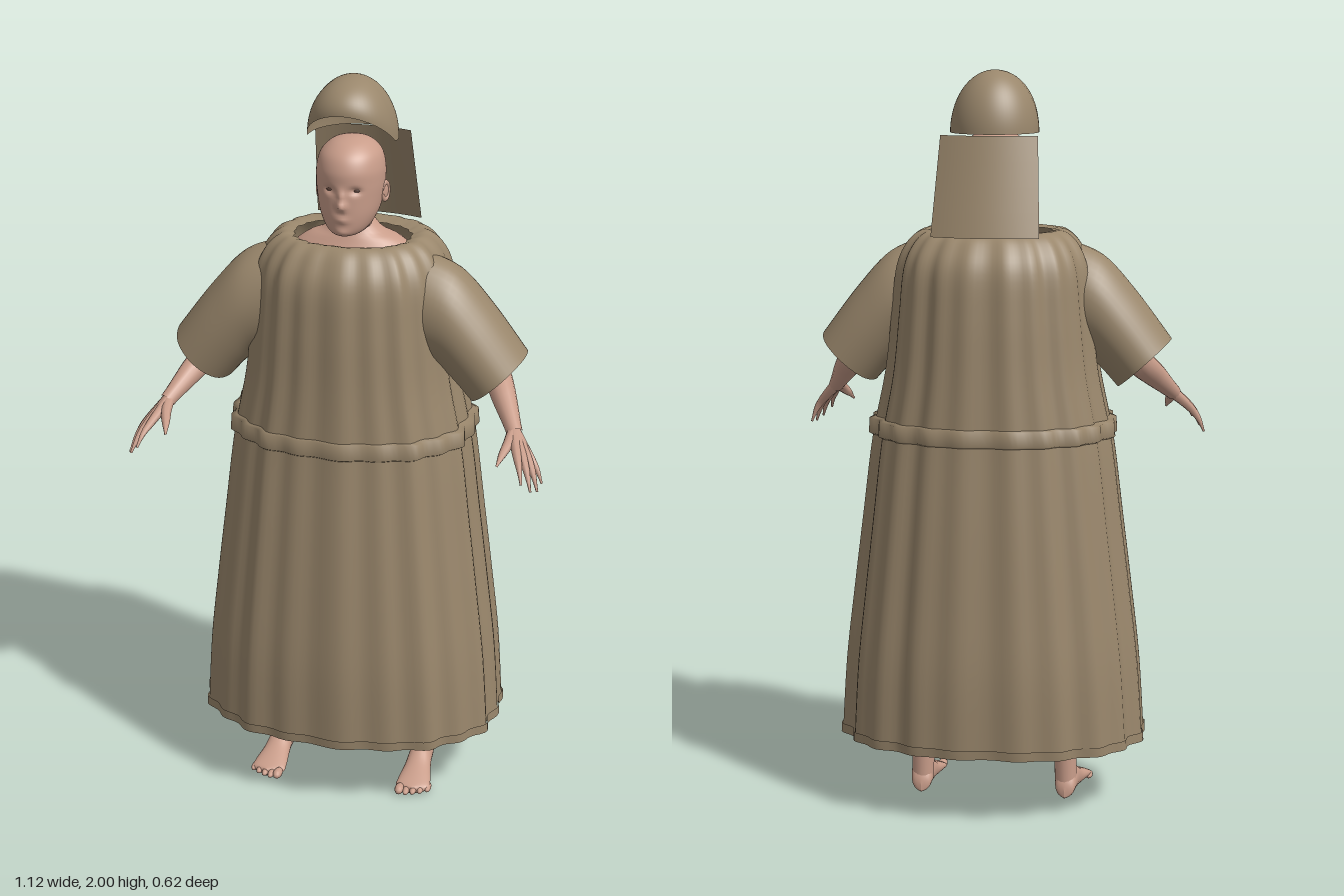
import * as THREE from 'three';

const V = (x, y, z) => new THREE.Vector3(x, y, z);
const robeMat = new THREE.MeshStandardMaterial({ color: 0x9a876c, side: THREE.DoubleSide });
robeMat.name = 'brownCloth';
const skinMat = new THREE.MeshStandardMaterial({ color: 0xc99d8a });
skinMat.name = 'skin';
const eyeMat = new THREE.MeshStandardMaterial({ color: 0x5a4036 });
eyeMat.name = 'darkBrown';

// Smooth interpolation through rows of numbers, u from 0 to 1
function sample(rows, u) {
  const f = u * (rows.length - 1), i = Math.min(Math.floor(f), rows.length - 2), t = f - i;
  const at = (k) => rows[Math.max(0, Math.min(rows.length - 1, k))];
  return rows[i].map((b, n) => {
    const a = at(i - 1)[n], c = at(i + 1)[n], d = at(i + 2)[n];
    return 0.5 * (2 * b + (c - a) * t + (2 * a - 5 * b + 4 * c - d) * t * t + (3 * b - a - 3 * c + d) * t ** 3);
  });
}

// Skin a surface over closed rings; point(u, angle) returns a Vector3
function loft(point, steps, sides) {
  const pos = [], idx = [];
  for (let i = 0; i <= steps; i++)
    for (let j = 0; j < sides; j++) pos.push(...point(i / steps, (j / sides) * Math.PI * 2).toArray());
  for (let i = 0; i < steps; i++)
    for (let j = 0; j < sides; j++) {
      const a = i * sides + j, b = i * sides + ((j + 1) % sides);
      idx.push(a, b, a + sides, b, b + sides, a + sides);
    }
  const g = new THREE.BufferGeometry();
  g.setAttribute('position', new THREE.Float32BufferAttribute(pos, 3));
  g.setIndex(idx);
  g.computeVertexNormals();
  return g;
}

// Tube whose radius follows a list
function limb(points, radii, steps = 16, sides = 12) {
  const curve = new THREE.CatmullRomCurve3(points);
  const g = new THREE.TubeGeometry(curve, steps, 1, sides);
  const p = g.attributes.position, v = V(0, 0, 0), rows = radii.map((r) => [r]);
  for (let i = 0; i < p.count; i++) {
    const u = Math.floor(i / (sides + 1)) / steps, c = curve.getPointAt(u);
    v.fromBufferAttribute(p, i).sub(c).multiplyScalar(Math.max(0, sample(rows, u)[0])).add(c);
    p.setXYZ(i, v.x, v.y, v.z);
  }
  return g;
}

// Horizontal oval from a row [y, halfWidth, zFront, zBack, tilt]
function oval([y, rx, zf, zb, tilt = 0], a, k = 1, e = 1) {
  const s = Math.sin(a), c = Math.cos(a);
  return V(rx * k * Math.sign(s) * Math.abs(s) ** e, y + tilt * c,
    (zf + zb) / 2 + ((zf - zb) / 2) * k * Math.sign(c) * Math.abs(c) ** e);
}
const folds = (a) => 1 + 0.017 * Math.sin(21 * a + 0.5) + 0.011 * Math.sin(11 * a + 1);
const cloth = (rows, steps) => loft((u, a) => oval(sample(rows, u), a, folds(a), 0.88), steps, 144);

export function createModel() {
  const model = new THREE.Group();
  const add = (name, geo, mat, parent = model) => {
    const m = new THREE.Mesh(geo, mat);
    m.name = name;
    parent.add(m);
    return m;
  };

  // Robe with belt and hem band
  add('robe', cloth([
    [0.19, 0.412, 0.297, -0.302], [0.4, 0.398, 0.3, -0.305], [0.6, 0.375, 0.29, -0.295],
    [0.8, 0.35, 0.276, -0.283], [1.02, 0.322, 0.258, -0.267], [1.2, 0.286, 0.247, -0.257],
    [1.36, 0.268, 0.242, -0.25], [1.48, 0.255, 0.232, -0.238], [1.545, 0.228, 0.202, -0.203],
    [1.577, 0.19, 0.165, -0.16], [1.573, 0.155, 0.13, -0.1]], 50), robeMat);
  add('belt', cloth([[1.025, 0.322, 0.258, -0.267], [1.03, 0.332, 0.265, -0.274],
    [1.07, 0.33, 0.262, -0.273], [1.075, 0.31, 0.25, -0.258]], 3), robeMat);
  add('hemBand', cloth([[0.186, 0.416, 0.3, -0.305], [0.212, 0.415, 0.302, -0.307]], 1), robeMat);

  // Torso, seen through the collar
  const torso = [[0.8, 0, 0, 0], [0.85, 0.15, 0.1, -0.1], [1.1, 0.14, 0.1, -0.09], [1.4, 0.17, 0.12, -0.11],
    [1.52, 0.17, 0.09, -0.09], [1.565, 0.13, 0.07, -0.075], [1.588, 0.08, 0.06, -0.06], [1.62, 0.05, 0.05, -0.05]];
  add('torso', loft((u, a) => oval(sample(torso, u), a), 28, 32), skinMat);

  // Head with sculpted nose, sockets, lips and chin
  const head = [[1.56, 0.06, 0.05, -0.06, 0], [1.6, 0.053, 0.065, -0.05, 0], [1.617, 0.055, 0.115, -0.05, -0.02],
    [1.632, 0.066, 0.132, -0.052, -0.02], [1.66, 0.079, 0.137, -0.06, -0.01], [1.7, 0.087, 0.137, -0.071, 0],
    [1.735, 0.09, 0.137, -0.075, 0], [1.77, 0.089, 0.136, -0.076, 0], [1.805, 0.079, 0.121, -0.066, 0],
    [1.83, 0.055, 0.09, -0.038, 0], [1.842, 0.026, 0.055, 0, 0], [1.845, 0, 0.025, 0.025, 0]];
  const bumps = [[0, 1.684, 0.022, 0.012, 0.011], [0, 1.708, 0.01, 0.009, 0.015], [0.034, 1.722, -0.011, 0.014, 0.009],
    [-0.034, 1.722, -0.011, 0.014, 0.009], [0, 1.646, 0.007, 0.018, 0.008], [0, 1.61, 0.006, 0.02, 0.01]];
  add('head', loft((u, a) => {
    const p = oval(sample(head, u), a);
    let push = 0;
    if (Math.cos(a) > 0)
      for (const [x, y, h, sx, sy] of bumps) push += h * Math.exp(-(((p.x - x) / sx) ** 2) - ((p.y - y) / sy) ** 2);
    p.z += push;
    return p;
  }, 66, 96), skinMat);

  // Helmet: dome whose rim rises over the brow
  add('helmet', loft((u, a) => {
    const t = (1 - u) * Math.PI / 2, rimZ = 0.01 + 0.127 * Math.cos(a);
    const depth = 0.165 - 0.085 * Math.max(0, (rimZ - 0.03) / 0.107);
    const r = Math.sin(t);
    return V(0.119 * r * Math.sin(a), 2 - depth * (1 - Math.cos(t)), 0.01 + 0.127 * r * Math.cos(a));
  }, 20, 64), robeMat);

  // Curved neck flap hanging behind the head
  const flap = new THREE.PlaneGeometry(2, 1, 12, 4), fp = flap.attributes.position;
  for (let i = 0; i < fp.count; i++) {
    const x = fp.getX(i), t = 0.5 - fp.getY(i);
    fp.setXYZ(i, x * (0.13 + 0.014 * t), 1.832 - 0.262 * t, -0.122 - 0.078 * t + 0.028 * x * x);
  }
  flap.computeVertexNormals();
  add('neckFlap', flap, robeMat);

  for (const s of [1, -1]) {
    const side = s > 0 ? 'left' : 'right';
    const P = (x, y, z) => V(x * s, y, z);

    // Eye and ear
    const eye = add(side + 'Eye', new THREE.SphereGeometry(1, 12, 8), eyeMat);
    eye.scale.set(0.011, 0.004, 0.004);
    eye.position.copy(P(0.034, 1.722, 0.1185));
    const ear = new THREE.Group();
    ear.name = side + 'Ear';
    const rim = add('earRim', new THREE.TorusGeometry(0.015, 0.005, 8, 16), skinMat, ear);
    rim.scale.y = 1.5;
    const bowl = add('earBowl', new THREE.SphereGeometry(0.014, 12, 8), skinMat, ear);
    bowl.scale.set(1, 1.5, 0.3);
    ear.position.copy(P(0.09, 1.7, 0.025));
    ear.rotation.y = s * 1.2;
    model.add(ear);

    // Wide sleeve: rows of top x, y and bottom x, y, half depth
    const sleeve = [[0.19, 1.55, 0.2, 1.25, 0.11], [0.29, 1.51, 0.25, 1.24, 0.12],
      [0.38, 1.415, 0.29, 1.205, 0.122], [0.478, 1.285, 0.335, 1.155, 0.12]];
    add(side + 'Sleeve', loft((u, a) => {
      const [tx, ty, bx, by, d] = sample(sleeve, u), c = Math.cos(a) * (1 + 0.02 * Math.sin(5 * a));
      return P((tx + bx) / 2 + (tx - bx) / 2 * c, (ty + by) / 2 + (ty - by) / 2 * c, 0.037 + d * s * Math.sin(a));
    }, 18, 40), robeMat);

    // Arm and hand
    add(side + 'Arm', limb([P(0.2, 1.45, 0.03), P(0.32, 1.35, 0), P(0.385, 1.235, 0.01),
      P(0.43, 1.175, 0.09), P(0.475, 1.115, 0.175)], [0.05, 0.045, 0.039, 0.034, 0.021], 24, 16), skinMat);
    const hand = new THREE.Group();
    hand.name = side + 'Hand';
    model.add(hand);
    const fingers = [[0.525, 1.062, 0.207, 0.557, 1.0, 0.22], [0.52, 1.066, 0.224, 0.553, 0.995, 0.265],
      [0.51, 1.072, 0.24, 0.54, 1.005, 0.295], [0.496, 1.08, 0.252, 0.518, 1.028, 0.31]];
    for (const [kx, ky, kz, x, y, z] of fingers)
      add('finger', limb([P(0.468, 1.123, 0.163), P(kx, ky, kz),
        P(kx * 0.45 + x * 0.55, ky * 0.45 + y * 0.55 + 0.008, kz * 0.45 + z * 0.55), P(x, y, z)],
      [0.017, 0.0135, 0.0095, 0.003], 14, 8), skinMat, hand);
    add('thumb', limb([P(0.47, 1.12, 0.17), P(0.465, 1.1, 0.215), P(0.455, 1.08, 0.25), P(0.447, 1.06, 0.28)],
      [0.016, 0.015, 0.011, 0.003], 12, 8), skinMat, hand);

    // Leg and foot
    add(side + 'Leg', limb([P(0.09, 0.92, 0), P(0.14, 0.66, 0.01), P(0.175, 0.42, 0), P(0.197, 0.2, -0.002),
      P(0.202, 0.03, 0)], [0.088, 0.07, 0.052, 0.037, 0.03], 24, 16), skinMat);
    const foot = new THREE.Group();
    foot.name = side + 'Foot';
    foot.position.x = 0.203 * s;
    foot.rotation.y = s * 0.04;
    model.add(foot);
    const sole = [[-0.037, 0, 0.02], [-0.028, 0.024, 0.05], [0, 0.031, 0.085], [0.045, 0.033, 0.08],
      [0.09, 0.038, 0.056], [0.14, 0.046, 0.038], [0.17, 0.044, 0.026], [0.185, 0, 0.02]];
    add('sole', loft((u, a) => {
      const [z, w, h] = sample(sole, u);
      return V(Math.max(0, w) * Math.cos(a), Math.max(0, h) * (0.5 + 0.5 * Math.sin(a)), z);
    }, 28, 24), skinMat, foot);
    for (let i = 0; i < 5; i++) {
      const toe = add('toe', new THREE.SphereGeometry(1, 12, 8), skinMat, foot);
      const r = i === 0 ? 0.013 : 0.0095;
      toe.scale.set(r, r, 0.024);
      toe.position.set(s * (-0.034 + i * 0.019), r + 0.001, 0.184 - i * i * 0.0018);
    }
  }
  return model;
}
